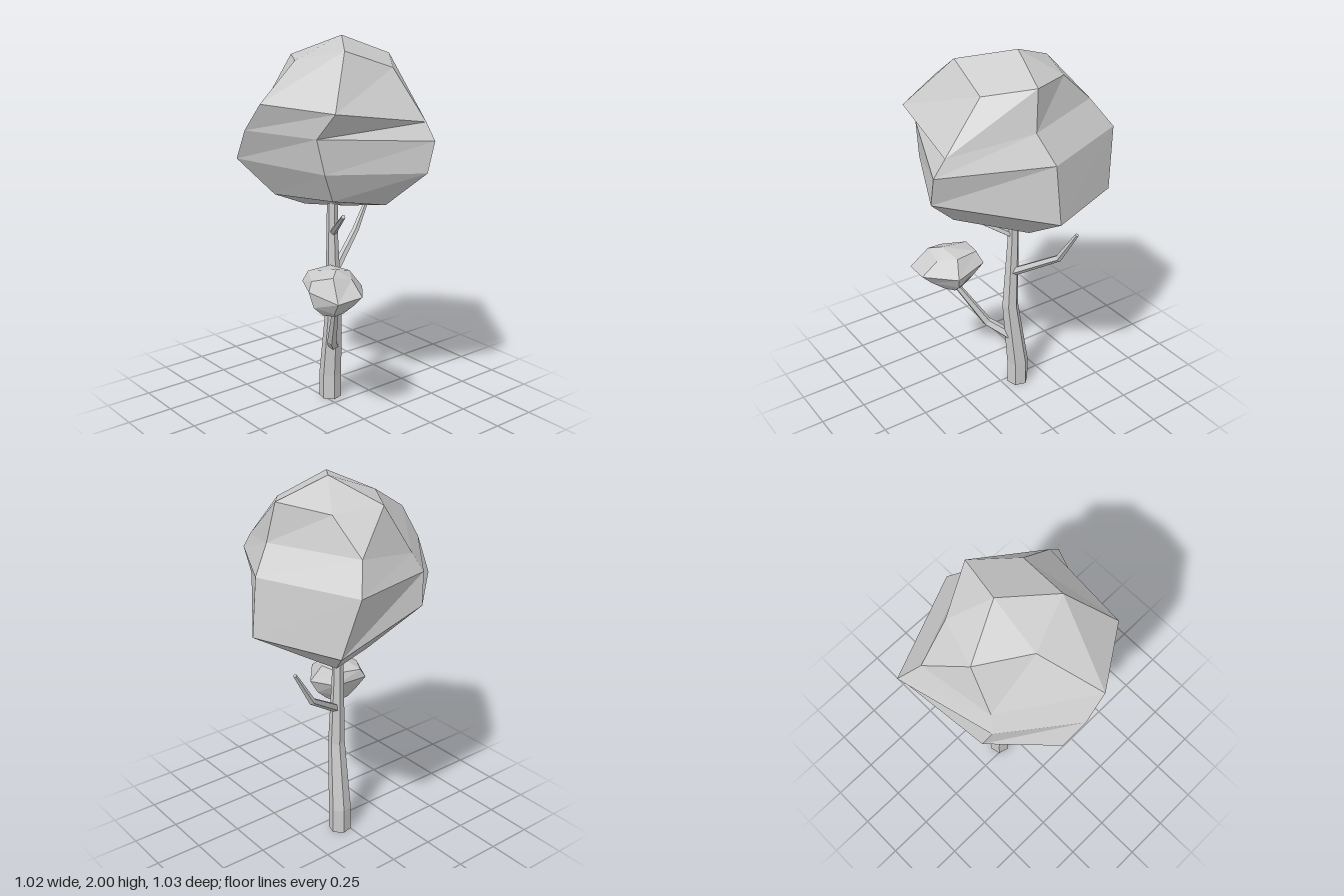
import * as THREE from 'three';

const material = new THREE.MeshStandardMaterial({ color: 0xcccccc, flatShading: true });
const vec = (p) => new THREE.Vector3(...p);

// Skin a stack of equal-sized rings (bottom to top) and close it with fans to two end points.
function loft(name, rings, bottom, top) {
  const n = rings[0].length;
  const pos = [];
  const tri = (...pts) => pts.forEach((p) => pos.push(p.x, p.y, p.z));
  for (let i = 0; i < n; i++) {
    const j = (i + 1) % n;
    for (let k = 0; k + 1 < rings.length; k++) {
      const a = rings[k], b = rings[k + 1];
      tri(a[i], a[j], b[j]);
      tri(a[i], b[j], b[i]);
    }
    const last = rings[rings.length - 1];
    tri(bottom, rings[0][j], rings[0][i]);
    tri(last[i], last[j], top);
  }
  const geometry = new THREE.BufferGeometry();
  geometry.setAttribute('position', new THREE.Float32BufferAttribute(pos, 3));
  geometry.computeVertexNormals();
  const mesh = new THREE.Mesh(geometry, material);
  mesh.name = name;
  return mesh;
}

// Tapering limb through points [x, y, z, radius]; level rings for an upright trunk.
function limb(name, path, sides, level = false) {
  const up = new THREE.Vector3(0, 1, 0);
  const centres = path.map(([x, y, z]) => new THREE.Vector3(x, y, z));
  const rings = path.map(([, , , r], k) => {
    const before = centres[Math.max(k - 1, 0)];
    const after = centres[Math.min(k + 1, path.length - 1)];
    const dir = level ? up : after.clone().sub(before).normalize();
    const q = new THREE.Quaternion().setFromUnitVectors(up, dir);
    return Array.from({ length: sides }, (_, i) => {
      const a = (i / sides) * Math.PI * 2 + 0.25;
      return new THREE.Vector3(r * Math.cos(a), 0, -r * Math.sin(a)).applyQuaternion(q).add(centres[k]);
    });
  });
  return loft(name, rings, centres[0], centres[centres.length - 1]);
}

// Faceted leaf mass from six-sided rings, each listed front right, right, back right, back left, left, front left.
const foliage = (name, rings, bottom, top) =>
  loft(name, rings.map((ring) => ring.map(vec)), vec(bottom), vec(top));

export function createModel() {
  const tree = new THREE.Group();
  tree.name = 'tree';

  tree.add(limb('trunk', [
    [0.04, 0, -0.09, 0.061],
    [0.04, 0.14, -0.09, 0.061],
    [0.028, 0.53, -0.045, 0.045],
    [0.031, 0.95, -0.06, 0.031],
    [0.033, 1.2, -0.06, 0.029],
  ], 6, true));

  // Branches
  tree.add(limb('lowerBranch', [
    [0.03, 0.32, -0.05, 0.03],
    [-0.06, 0.4, 0.05, 0.026],
    [-0.16, 0.68, 0.21, 0.016],
  ], 5));
  tree.add(limb('middleBranch', [
    [0.03, 0.735, -0.05, 0.024],
    [0.285, 0.91, -0.17, 0.019],
    [0.4, 1.095, -0.19, 0.01],
  ], 5));
  tree.add(limb('upperBranch', [
    [0.03, 0.97, -0.05, 0.019],
    [-0.15, 1.15, 0.255, 0.011],
  ], 5));

  // Large crown
  tree.add(foliage('crown', [
    [[0.065, 1.19, 0.325], [0.255, 1.1, 0], [0.2, 1.1, -0.26], [-0.05, 1.11, -0.19], [-0.33, 1.23, -0.07], [-0.22, 1.24, 0.26]],
    [[0.17, 1.37, 0.51], [0.51, 1.26, 0], [0.32, 1.25, -0.45], [-0.21, 1.38, -0.42], [-0.49, 1.42, -0.165], [-0.3, 1.39, 0.3]],
    [[0.21, 1.525, 0.515], [0.475, 1.56, 0.01], [0.255, 1.555, -0.515], [-0.245, 1.54, -0.385], [-0.515, 1.58, -0.05], [-0.34, 1.565, 0.29]],
    [[0.21, 1.61, 0.45], [0.375, 1.7, 0.055], [0.175, 1.7, -0.42], [-0.2, 1.635, -0.345], [-0.505, 1.72, 0.07], [-0.3, 1.69, 0.38]],
    [[0.18, 1.855, 0.235], [0.34, 1.9, 0.025], [0.2, 1.87, -0.23], [-0.045, 1.89, -0.31], [-0.2, 1.89, -0.065], [-0.1, 1.95, 0.2]],
  ], [0.08, 1.11, -0.04], [0.08, 2, -0.045]));

  // Small leaf ball on the lower branch
  tree.add(foliage('leafBall', [
    [[-0.15, 0.645, 0.26], [-0.11, 0.64, 0.22], [-0.13, 0.64, 0.16], [-0.21, 0.64, 0.16], [-0.25, 0.645, 0.22], [-0.22, 0.65, 0.28]],
    [[-0.15, 0.71, 0.34], [-0.055, 0.69, 0.23], [-0.1, 0.7, 0.12], [-0.24, 0.7, 0.12], [-0.31, 0.7, 0.22], [-0.265, 0.69, 0.33]],
    [[-0.145, 0.77, 0.4], [-0.02, 0.76, 0.25], [-0.06, 0.79, 0.07], [-0.26, 0.79, 0.06], [-0.325, 0.78, 0.2], [-0.29, 0.76, 0.39]],
    [[-0.14, 0.84, 0.31], [-0.08, 0.85, 0.22], [-0.1, 0.85, 0.09], [-0.23, 0.84, 0.07], [-0.3, 0.83, 0.19], [-0.25, 0.865, 0.3]],
  ], [-0.18, 0.635, 0.22], [-0.19, 0.885, 0.25]));

  return tree;
}
